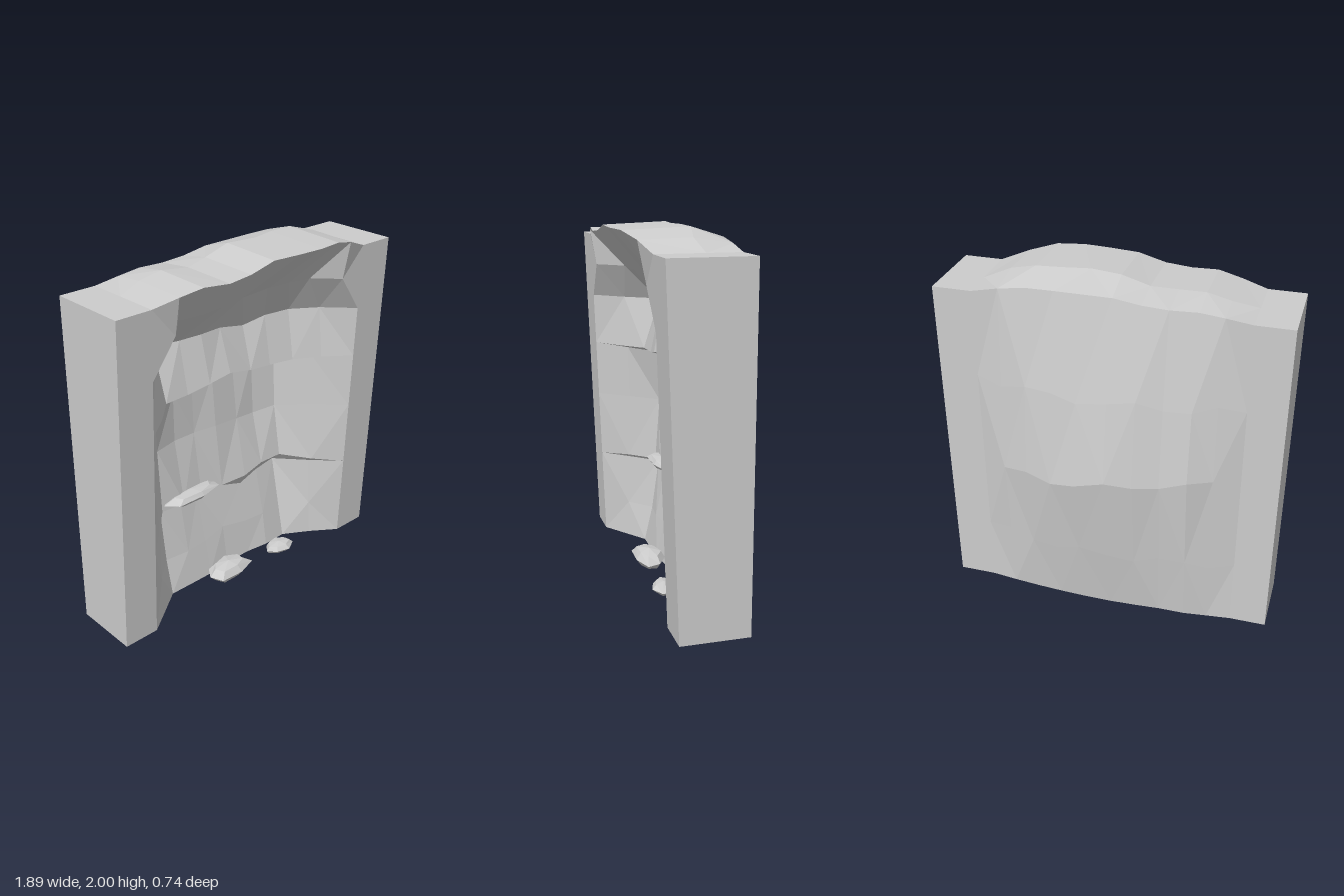
import * as THREE from 'three';

const stone = new THREE.MeshStandardMaterial({ color: 0xcccccc, flatShading: true });
stone.name = 'grey stone';

// Column positions: outer post edges at both ends, the alcove between them.
const X = [-0.945, -0.74, -0.6, -0.47, -0.32, -0.18, -0.03, 0.14, 0.28, 0.43, 0.58, 0.73, 0.945];
const LAST = X.length - 1;
const TOP = 1.89;

// Alcove courses from floor to overhang: height, depth, a local rise (amount, x, width),
// and how far the right and left shoulders stand forward.
const COURSES = [
  [0, -0.01, 0, 0, 1, 0.02, 0],
  [0.21, -0.045, 0.03, -0.03, 0.1, 0, 0],
  [0.51, -0.1, -0.05, 0.14, 0.12, 0, 0],
  [0.525, -0.06, 0.05, 0.36, 0.14, -0.02, 0.02],
  [0.9, -0.125, -0.03, 0.3, 0.2, 0.02, 0.02],
  [1.21, -0.15, -0.03, -0.25, 0.12, 0.13, 0.02],
  [1.225, 0.005, 0.05, -0.07, 0.15, 0, 0.02],
  [1.52, -0.065, -0.04, 0.13, 0.12, -0.02, 0.05],
  [1.72, 0.12, 0.03, 0.25, 0.3, 0, 0.03]
];
// Back courses: height and share of the full bulge
const BACK = [[1.4, 0.62], [0.92, 1], [0.4, 0.6], [0, 0.25]];

const postZ = y => 0.19 + 0.037 * y;
const bump = (x, centre, width) => Math.exp(-(((x - centre) / width) ** 2));
// 1 in the middle of the wall, 0 at the posts
const dome = x => Math.max(0, 1 - (x / 0.73) ** 2);
const isPost = c => c < 2 || c > LAST - 2;

// Height of the crest above the posts
function crest(x, c) {
  if (isPost(c)) return 0;
  return Math.min(0.11, 0.11 * dome(x) - 0.055 * bump(x, -0.25, 0.12) + 0.035 * bump(x, 0.45, 0.2));
}

function alcovePoint([y, z, rise, centre, width, right, left], x, c) {
  if (isPost(c)) return new THREE.Vector3(x, y, postZ(y));
  const wall = z + 0.012 * Math.sin(c * 1.7 + y * 4)
    + right * bump(x, -0.47, 0.12) + left * bump(x, 0.43, 0.12);
  const sideColumn = c === 2 || c === LAST - 2;
  // The posts widen just under the overhang, so the side columns meet them there.
  const meet = y > 1.6 ? 1 : 0.5;
  const depth = sideColumn ? THREE.MathUtils.lerp(wall, postZ(y), meet) : wall;
  return new THREE.Vector3(x, y + rise * bump(x, centre, width), depth);
}

function lipPoint(x, c) {
  const reach = isPost(c) ? 0 : 0.09 * dome(x) + 0.03 * bump(x, 0.34, 0.18) - 0.02 * bump(x, -0.1, 0.15);
  return new THREE.Vector3(x, TOP + crest(x, c) * 0.88, postZ(TOP) + reach);
}

function backPoint([y, share], x, c) {
  if (isPost(c)) return new THREE.Vector3(x, y, -0.185);
  const wave = y > 0 ? 0.025 * Math.sin(c * 1.9 + y * 3) - 0.1 * x * bump(y, 0.92, 0.3) : 0;
  const bulge = 0.19 * dome(x) - 0.03 * bump(x, -0.28, 0.12) + 0.015 * bump(x, -0.48, 0.08);
  return new THREE.Vector3(x, y + wave, -0.185 - bulge * share);
}

function wallRows() {
  return [
    ...COURSES.map(course => X.map((x, c) => alcovePoint(course, x, c))),
    X.map(lipPoint),
    X.map((x, c) => new THREE.Vector3(x, TOP + crest(x, c), 0.02 * Math.sin(c * 2))),
    X.map((x, c) => new THREE.Vector3(x, TOP + crest(x, c) * 0.5, -0.185)),
    ...BACK.map(course => X.map((x, c) => backPoint(course, x, c)))
  ];
}

// Joins the rows into a closed loop (front, top, back, underside) and caps both ends.
function loftWall() {
  const rows = wallRows(), pos = [];
  const tri = (...points) => points.forEach(p => pos.push(p.x, p.y, p.z));
  const leftCentre = new THREE.Vector3(X[LAST], 0.95, 0);
  const rightCentre = new THREE.Vector3(X[0], 0.95, 0);
  rows.forEach((row, r) => {
    const next = rows[(r + 1) % rows.length];
    for (let c = 0; c < LAST; c++) {
      const a = row[c], b = row[c + 1], d = next[c + 1], e = next[c];
      // Under the overhang the cuts follow the widened posts.
      const rising = r === COURSES.length - 2 ? c < LAST / 2 : r === COURSES.length - 1 ? c >= LAST / 2 : (r + c) % 2;
      if (rising) { tri(a, b, d); tri(a, d, e); }
      else { tri(a, b, e); tri(b, d, e); }
    }
    tri(rightCentre, row[0], next[0]);
    tri(leftCentre, next[LAST], row[LAST]);
  });
  const geo = new THREE.BufferGeometry();
  geo.setAttribute('position', new THREE.Float32BufferAttribute(pos, 3));
  geo.computeVertexNormals();
  return geo;
}

// Faceted stone, made uneven by a rule and flattened underneath.
function makeStone(name, position, size, seed) {
  const geo = new THREE.SphereGeometry(0.5, 7, 4);
  const p = geo.attributes.position;
  for (let i = 0; i < p.count; i++) {
    const x = p.getX(i), y = p.getY(i), z = p.getZ(i);
    const k = 1 + 0.12 * Math.sin(x * 8 + z * 6 + seed);
    p.setXYZ(i, x * k, Math.max(y, -0.36), z * k);
  }
  geo.scale(...size);
  geo.computeVertexNormals();
  const mesh = new THREE.Mesh(geo, stone);
  mesh.name = name;
  mesh.position.set(...position);
  return mesh;
}

export function createModel() {
  const model = new THREE.Group();
  model.name = 'rockAlcove';
  const wall = new THREE.Mesh(loftWall(), stone);
  wall.name = 'rockWall';
  model.add(
    wall,
    makeStone('ledgeStone', [-0.26, 0.565, -0.06], [0.41, 0.065, 0.15], 1),
    makeStone('largePebble', [-0.1, 0.04, 0.07], [0.32, 0.11, 0.18], 2),
    makeStone('smallPebble', [0.3, 0.025, 0.09], [0.2, 0.066, 0.13], 4)
  );
  return model;
}
